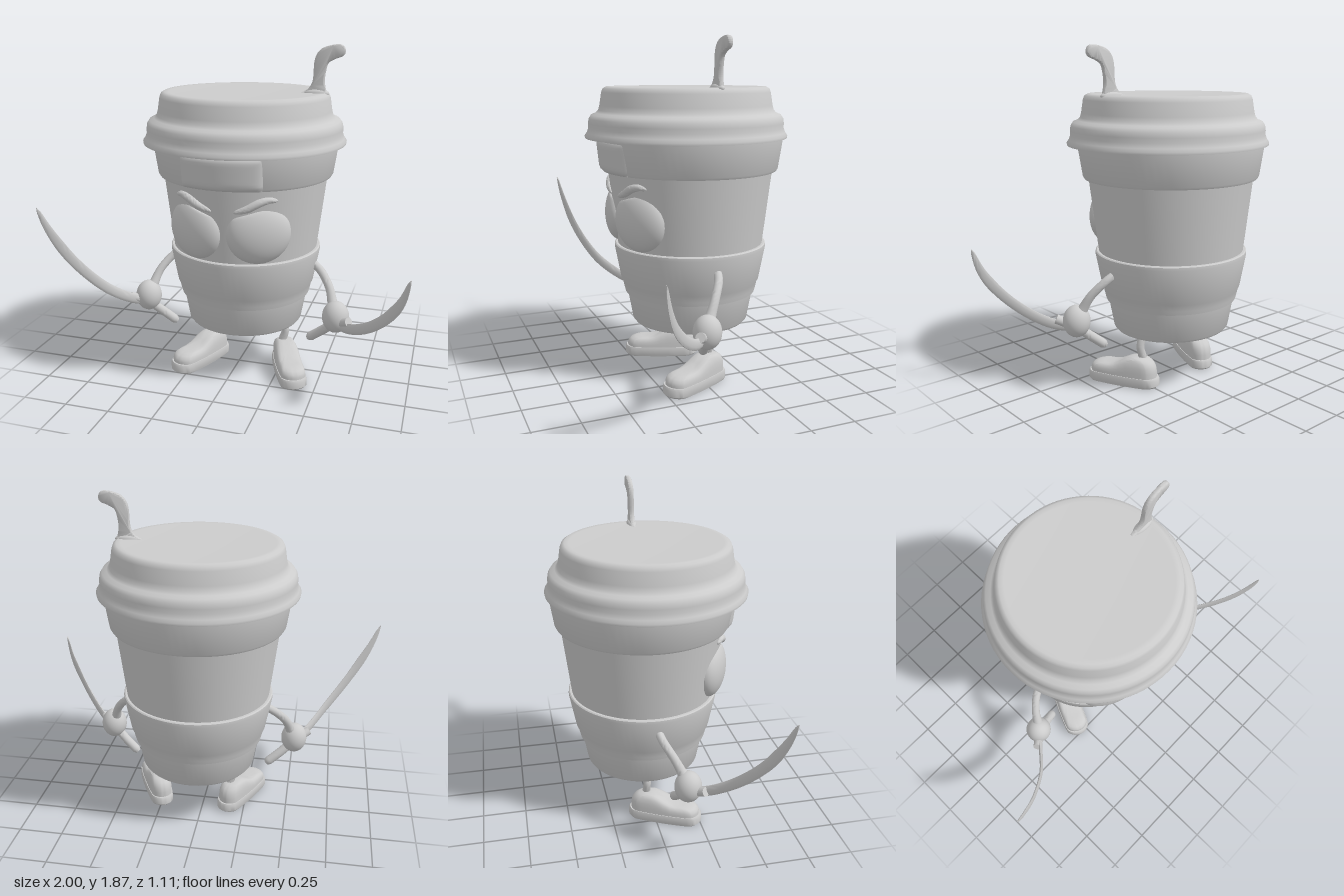
import * as THREE from 'three';
import { toCreasedNormals } from 'three/addons/utils/BufferGeometryUtils.js';

const CX = 0.0325, CZ = -0.025; // axis of the cup body
const grey = new THREE.MeshStandardMaterial({ color: 0xcccccc });
const V = (a) => new THREE.Vector3(...a);

function add(parent, name, geometry, x = 0, y = 0, z = 0) {
  const mesh = new THREE.Mesh(geometry, grey);
  mesh.name = name;
  mesh.position.set(x, y, z);
  parent.add(mesh);
  return mesh;
}

// Move every vertex of a geometry by a rule
function deform(geo, rule) {
  const p = geo.attributes.position, v = new THREE.Vector3();
  for (let i = 0; i < p.count; i++) {
    v.fromBufferAttribute(p, i);
    rule(v);
    p.setXYZ(i, v.x, v.y, v.z);
  }
  geo.computeVertexNormals();
  return geo;
}

function lathe(profile, crease = 0.6, segments = 72) {
  return toCreasedNormals(new THREE.LatheGeometry(profile.map((p) => new THREE.Vector2(...p)), segments), crease);
}

// Elliptical section swept along a curve; half-sizes are functions of u
function sweep(points, width, thick, ref = [0, 0, 1]) {
  const curve = new THREE.CatmullRomCurve3(points.map(V)), r = V(ref);
  const geo = new THREE.CylinderGeometry(1, 1, 1, 14, 32);
  return toCreasedNormals(deform(geo, (v) => {
    const u = THREE.MathUtils.clamp(v.y + 0.5, 0, 1);
    const t = curve.getTangentAt(u);
    const n = t.clone().cross(r).normalize();
    const w = t.clone().cross(n);
    const { x, z } = v;
    v.copy(curve.getPointAt(u)).addScaledVector(w, x * width(u)).addScaledVector(n, z * thick(u));
  }), 0.9);
}

// Rounded shoe outline lofted from (scale, height) pairs
function shoeLoft(profile, halfWidth, halfSpan, topAt) {
  const geo = new THREE.LatheGeometry(profile.map((p) => new THREE.Vector2(...p)), 48);
  return toCreasedNormals(deform(geo, (v) => {
    const s = Math.hypot(v.x, v.z) || 1e-6, c = v.z / s;
    const stretch = THREE.MathUtils.clamp(c * 2.2, -1, 1);
    const z = s * (halfWidth * c + halfSpan * stretch);
    v.x *= halfWidth * (0.93 + 0.07 * stretch);
    v.z = z;
    v.y = topAt(z, v.y);
  }), 0.7);
}

function addCup(g) {
  add(g, 'cup', lathe([
    [0, 0.305], [0.318, 0.305], [0.328, 0.318], [0.357, 0.475],
    [0.37, 0.477], [0.376, 0.5], [0.384, 0.535], [0.392, 0.55], // sleeve foot
    [0.427, 0.735], [0.426, 0.752], [0.42, 0.757], [0.408, 0.757], // sleeve top
    [0.457, 1.165], [0.48, 1.165], [0.488, 1.178], [0.513, 1.34], [0.513, 1.37], [0, 1.37],
  ]), CX, 0, CZ);
  add(g, 'lid', lathe([
    [0.48, 1.345], [0.555, 1.345], [0.557, 1.358], [0.545, 1.375], [0.536, 1.4],
    [0.537, 1.425], [0.533, 1.45], [0.52, 1.47], [0.495, 1.48], [0.481, 1.495], [0.474, 1.52],
    [0.463, 1.59], [0.455, 1.61], [0.438, 1.62], [0.415, 1.619], [0, 1.616],
  ], 0.8), CX, 0, 0);

  // Raised plate on the band, bent around the cup
  const plate = new THREE.BoxGeometry(2, 2, 1, 28, 12, 3);
  add(g, 'browPlate', toCreasedNormals(deform(plate, (v) => {
    const edge = Math.max(Math.abs(v.x) ** 12, Math.abs(v.y) ** 8);
    const r = 0.512 + 0.009 * v.y - 0.018 * edge + (v.z - 0.5) * 0.06;
    const a = v.x * 0.465 * (1 - 0.04 * Math.abs(v.y) ** 6);
    v.set(r * Math.sin(a), 1.254 + v.y * 0.088, r * Math.cos(a));
  }), 0.9), CX, 0, CZ);

  // Flat stirrer standing in the lid
  const outline = [
    [0.38, 1.63], [0.41, 1.68], [0.418, 1.785], [0.443, 1.835], [0.49, 1.857], [0.545, 1.862],
    [0.562, 1.84], [0.553, 1.818], [0.515, 1.803], [0.478, 1.78], [0.463, 1.735], [0.458, 1.675], [0.472, 1.61],
  ];
  const shape = new THREE.Shape();
  shape.moveTo(0.34, 1.61);
  shape.splineThru(outline.map((p) => new THREE.Vector2(...p)));
  const stirrer = new THREE.ExtrudeGeometry(shape, {
    depth: 0.012, bevelEnabled: true, bevelSize: 0.008, bevelThickness: 0.008, bevelSegments: 3, curveSegments: 40,
  });
  add(g, 'stirrer', toCreasedNormals(stirrer, 0.8), 0, 0, -0.014);
  const foot = add(g, 'stirrerFoot', new THREE.SphereGeometry(1, 24, 12), 0.42, 1.615, -0.008);
  foot.scale.set(0.07, 0.025, 0.028);
}

function addFace(g, s) {
  // Eye with its top cut off by the angry brow
  const eye = deform(new THREE.SphereGeometry(1, 48, 32), (v) => {
    v.set(v.x * 0.172, v.y * 0.165, v.z * 0.085);
    v.y = Math.min(v.y, 0.135 + 0.3 * v.x * s);
  });
  const a = 0.45 * s;
  add(g, 'eye', eye, CX + 0.395 * Math.sin(a), 0.922, CZ + 0.395 * Math.cos(a)).rotation.y = a;

  const brow = [[0.06, 1.045], [0.13, 1.068], [0.19, 1.1], [0.235, 1.112], [0.275, 1.105]].map(([x, y]) => {
    const r = 0.408 + (y - 0.757) * 0.12;
    return [CX + s * x, y, CZ + Math.sqrt(r * r - x * x) + 0.002];
  });
  const browSize = (u) => 0.002 + 0.02 * Math.sqrt(Math.sin(Math.PI * u) + 1e-6);
  add(g, 'brow', sweep(brow, browSize, browSize));
}

function addArm(g, s) {
  const side = (pts) => pts.map(([x, y, z]) => [CX + s * x, y, z]);
  const round = (u) => 0.023 + 0.022 * u ** 6;
  add(g, 'arm', sweep(side([
    [0.37, 0.68, -0.02], [0.44, 0.635, 0], [0.505, 0.555, 0.05], [0.535, 0.475, 0.09], [0.557, 0.42, 0.115],
  ]), round, round));
  const hand = add(g, 'hand', new THREE.SphereGeometry(1, 32, 24), CX + s * 0.557, 0.41, 0.115);
  hand.scale.set(0.075, 0.09, 0.075);
  const grip = (u) => 0.026 * Math.min(1, 0.6 + 8 * u);
  add(g, 'handle', sweep(side([[0.398, 0.243, 0.07], [0.48, 0.31, 0.095], [0.557, 0.375, 0.13], [0.64, 0.42, 0.19]]), grip, grip));
}

// Curved pointed blades, raised differently on each side
function addBlade(g, points) {
  add(g, 'blade', sweep(points,
    (u) => 0.029 * Math.sqrt(Math.min(1, (1 - u) * 3.5)) + 0.0005,
    (u) => 0.012 * (1 - 0.6 * u), [0, 1, 0]));
}

function addLeg(g, s) {
  const x0 = 0.047;
  const round = (u) => 0.026 - 0.004 * Math.sin(Math.PI * u);
  add(g, 'leg', sweep([[0.185, 0.32, -0.04], [0.215, 0.27, -0.04], [0.226, 0.22, -0.04], [0.212, 0.165, -0.04], [0.2, 0.12, -0.04]]
    .map(([x, y, z]) => [x0 + s * x, y, z]), round, round));

  const shoe = new THREE.Group();
  shoe.name = 'shoe';
  shoe.position.set(x0 + s * 0.267, 0, 0.06);
  shoe.rotation.y = s * 0.42;
  add(shoe, 'sole', shoeLoft(
    [[0, 0], [0.95, 0], [1, 0.01], [1, 0.045], [0.97, 0.056], [0, 0.056]], 0.084, 0.133, (z, y) => y));
  // Upper rises from a low toe to a high heel
  add(shoe, 'shoeUpper', shoeLoft(
    [[0.93, 0], [0.93, 0.3], [0.91, 0.55], [0.84, 0.78], [0.72, 0.92], [0.55, 0.98], [0.3, 1], [0, 1]], 0.084, 0.133,
    (z, t) => 0.05 + t * (0.062 + 0.054 * (1 - THREE.MathUtils.smoothstep(z, -0.08, 0.07)))));
  g.add(shoe);
}

export function createModel() {
  const g = new THREE.Group();
  g.name = 'cupWarrior';
  addCup(g);
  for (const s of [-1, 1]) {
    addFace(g, s);
    addArm(g, s);
    addLeg(g, s);
  }
  addBlade(g, [[-0.54, 0.385, 0.14], [-0.6, 0.42, 0.21], [-0.7, 0.52, 0.325], [-0.84, 0.7, 0.425], [-0.945, 0.88, 0.475], [-0.998, 1.01, 0.498]]);
  addBlade(g, [[0.6, 0.375, 0.14], [0.68, 0.39, 0.21], [0.785, 0.455, 0.31], [0.89, 0.565, 0.405], [0.96, 0.68, 0.46], [0.998, 0.808, 0.492]]);
  return g;
}
